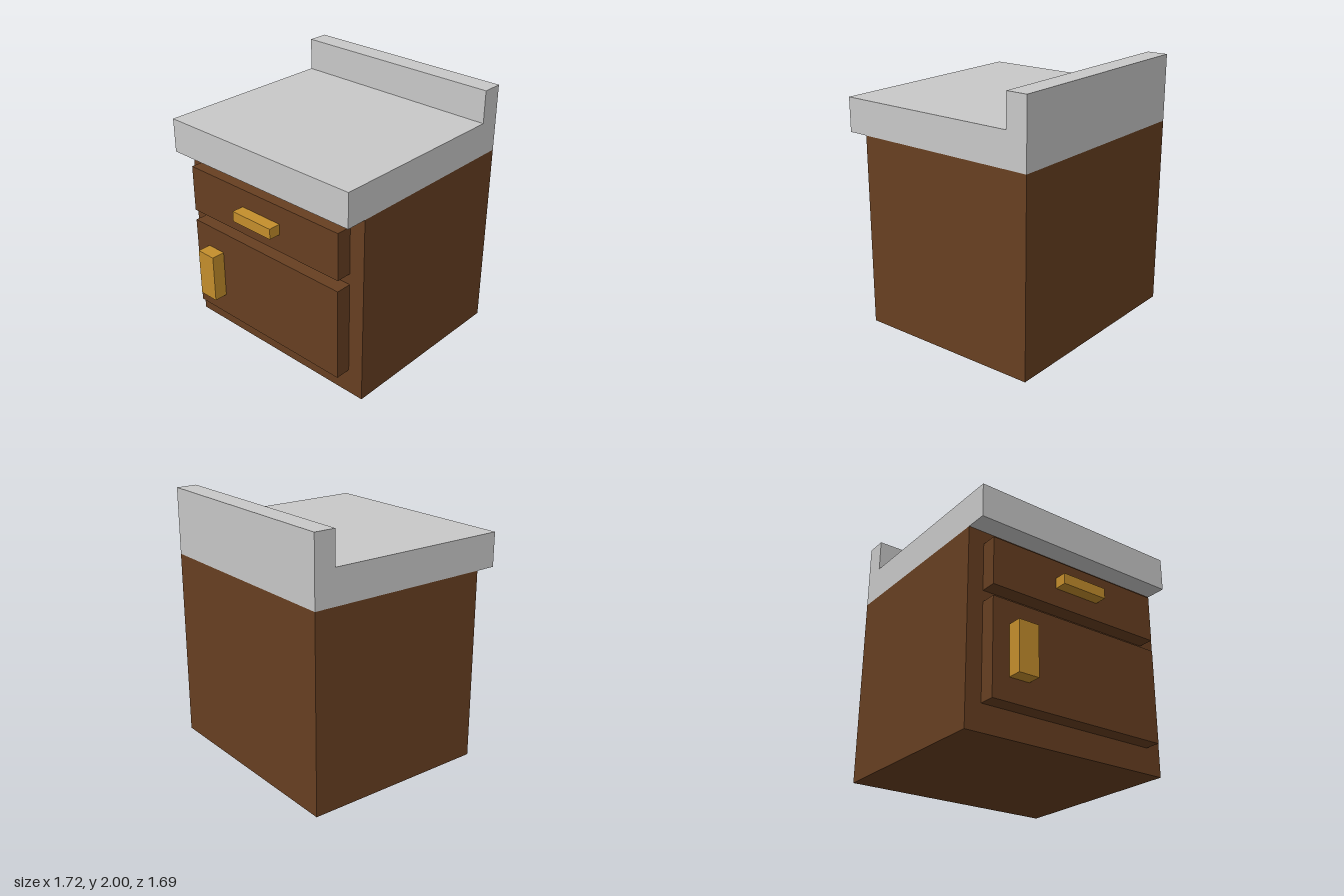
import * as THREE from 'three';

export function createModel() {
  const model = new THREE.Group();
  model.name = 'kitchenCabinet';

  const material = (name, color) => {
    const m = new THREE.MeshStandardMaterial({ color });
    m.name = name;
    return m;
  };
  const wood = material('brownWood', 0x673f21);
  const stone = material('greyStone', 0xc8c8c8);
  const brass = material('brass', 0xc48e2c);

  // Box given by its extents along each axis
  const addBox = (name, mat, [x0, x1], [y0, y1], [z0, z1]) => {
    const mesh = new THREE.Mesh(new THREE.BoxGeometry(x1 - x0, y1 - y0, z1 - z0), mat);
    mesh.position.set((x0 + x1) / 2, (y0 + y1) / 2, (z0 + z1) / 2);
    mesh.name = name;
    model.add(mesh);
  };

  // Cabinet body with raised drawer and door fronts
  addBox('cabinetBody', wood, [-0.86, 0.86], [0, 1.485], [-0.845, 0.617]);
  addBox('drawerFront', wood, [-0.735, 0.735], [1.02, 1.387], [0.617, 0.738]);
  addBox('doorFront', wood, [-0.735, 0.735], [0.2, 0.933], [0.617, 0.738]);

  // Handles
  addBox('drawerHandle', brass, [-0.19, 0.187], [1.163, 1.245], [0.738, 0.832]);
  addBox('doorHandle', brass, [-0.6, -0.437], [0.375, 0.757], [0.738, 0.845]);

  // Worktop and backsplash: one L-shaped side profile (z, y) extruded across the width
  const profile = new THREE.Shape([
    [-0.845, 1.485], [0.78, 1.485], [0.78, 1.748],
    [-0.682, 1.748], [-0.682, 2], [-0.845, 2],
  ].map(([z, y]) => new THREE.Vector2(-z, y)));
  const topGeometry = new THREE.ExtrudeGeometry(profile, { depth: 1.72, bevelEnabled: false });
  topGeometry.translate(0, 0, -0.86);
  topGeometry.rotateY(Math.PI / 2);
  const worktop = new THREE.Mesh(topGeometry, stone);
  worktop.name = 'worktop';
  model.add(worktop);

  return model;
}
